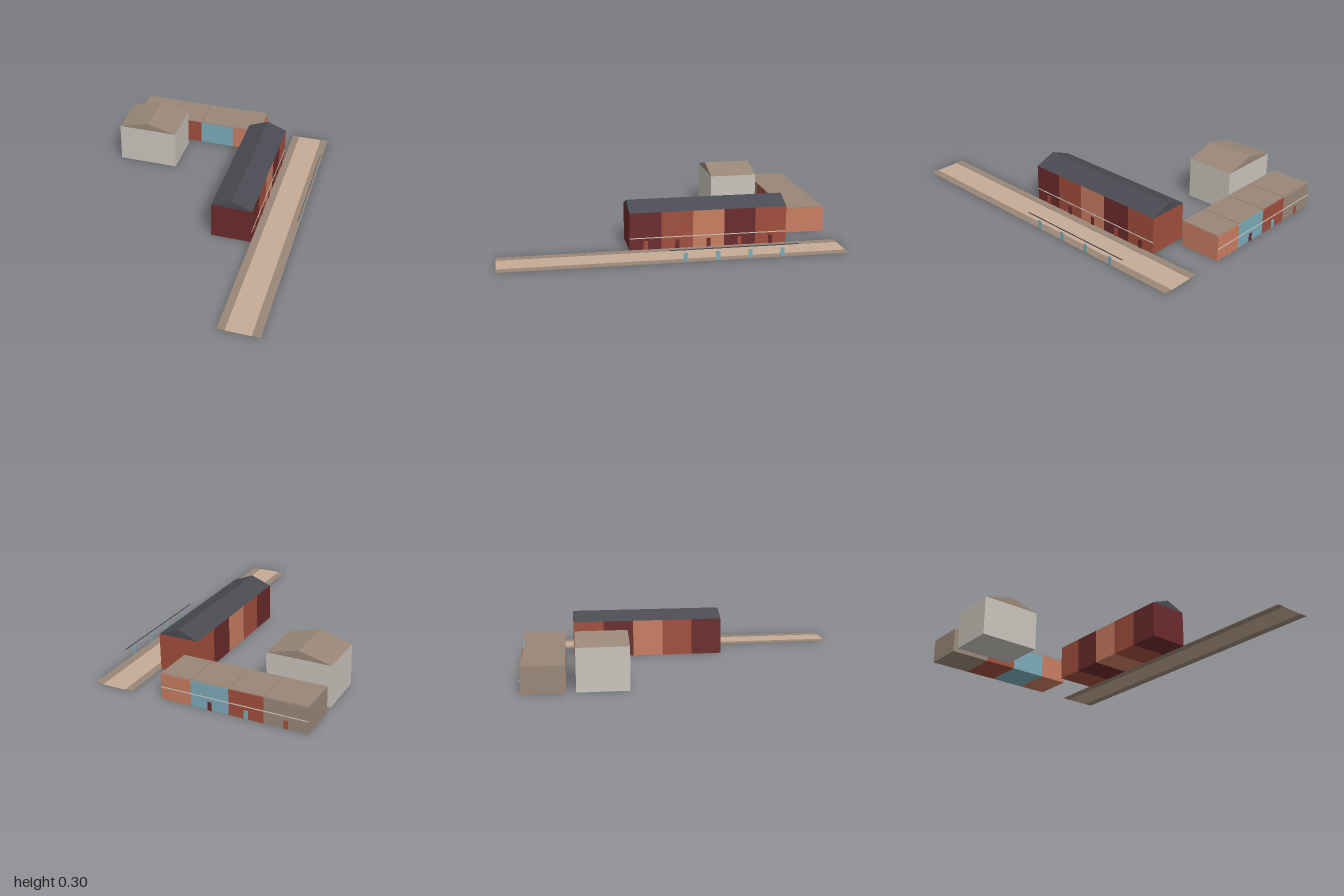
import * as THREE from 'three';

export function createModel() {
  const root = new THREE.Group();
  root.name = 'streetBlock';

  const mat = (name, color) => {
    const m = new THREE.MeshStandardMaterial({ color });
    m.name = name;
    return m;
  };
  const cream = mat('cream', 0xc9c4bb);
  const teal = mat('teal', 0x7babb8);
  const rust = mat('rust', 0xa04e3c);
  const orange = mat('terracotta', 0xc87d61);
  const maroon = mat('maroon', 0x6b2a2c);
  const slate = mat('slate', 0x4a4b52);
  const taupe = mat('taupe', 0x998777);
  const tan = mat('tan', 0xc5ab97);

  // Box given by its limits on each axis
  const box = (parent, name, material, x0, x1, y0, y1, z0, z1) => {
    const mesh = new THREE.Mesh(new THREE.BoxGeometry(x1 - x0, y1 - y0, z1 - z0), material);
    mesh.position.set((x0 + x1) / 2, (y0 + y1) / 2, (z0 + z1) / 2);
    mesh.name = name;
    parent.add(mesh);
  };

  // Gabled roof with its ridge along z
  const gableRoof = (parent, name, material, x0, x1, y0, y1, z0, z1) => {
    const s = new THREE.Shape();
    s.moveTo(x0, y0);
    s.lineTo(x1, y0);
    s.lineTo((x0 + x1) / 2, y1);
    s.closePath();
    const geo = new THREE.ExtrudeGeometry(s, { depth: z1 - z0, bevelEnabled: false });
    geo.translate(0, 0, z0);
    const mesh = new THREE.Mesh(geo, material);
    mesh.name = name;
    parent.add(mesh);
  };

  const group = (name) => {
    const g = new THREE.Group();
    g.name = name;
    root.add(g);
    return g;
  };

  // Street with a raised pavement on each side
  const street = group('street');
  box(street, 'roadway', tan, 0.45, 0.6, 0, 0.002, -1, 1);
  box(street, 'innerPavement', taupe, 0.405, 0.45, 0, 0.004, -1, 1);
  box(street, 'outerPavement', taupe, 0.6, 0.65, 0, 0.004, -1, 1);

  // Barn
  const barn = group('barn');
  box(barn, 'barnWalls', cream, -0.655, -0.272, 0, 0.25, -0.697, -0.4);
  gableRoof(barn, 'barnRoof', taupe, -0.655, -0.272, 0.25, 0.3, -0.697, -0.4);

  // Long terrace of five houses facing the street
  const terrace = group('terrace');
  const step = 0.1865;
  const doorColours = [rust, maroon, maroon, rust, maroon];
  [maroon, rust, orange, maroon, rust].forEach((wall, i) => {
    const z1 = 0.235 - i * step;
    const z0 = z1 - step;
    const zc = (z0 + z1) / 2;
    box(terrace, 'terraceHouse', wall, 0.155, 0.405, 0, 0.225, z0, z1);
    box(terrace, 'terraceBand', cream, 0.405, 0.408, 0.071, 0.076, z0, z1);
    box(terrace, 'terraceDoor', doorColours[i], 0.405, 0.408, 0, 0.055, zc - 0.012, zc + 0.012);
    // Matching panels and rail along the far pavement
    if (i > 0) {
      box(terrace, 'roadsidePanel', teal, 0.647, 0.65, 0.004, 0.055, zc - 0.012, zc + 0.012);
      box(terrace, 'roadsideRail', slate, 0.647, 0.65, 0.071, 0.076, z0, z1);
    }
  });
  gableRoof(terrace, 'terraceRoof', slate, 0.155, 0.405, 0.225, 0.274, 0.235 - 5 * step, 0.235);

  // Low row of four houses facing the back
  const row = group('backRow');
  const houses = [
    [-0.655, -0.402, taupe, rust],
    [-0.402, -0.197, rust, teal],
    [-0.197, 0.031, teal, maroon],
    [0.031, 0.215, orange, orange],
  ];
  for (const [x0, x1, wall, door] of houses) {
    const xc = (x0 + x1) / 2;
    box(row, 'rowHouse', wall, x0, x1, 0, 0.152, -0.997, -0.75);
    box(row, 'rowRoof', taupe, x0 + 0.002, x1 - 0.002, 0.152, 0.156, -0.992, -0.75);
    box(row, 'rowBand', cream, x0, x1, 0.071, 0.076, -1, -0.997);
    box(row, 'rowDoor', door, xc - 0.012, xc + 0.012, 0, 0.05, -1, -0.997);
  }

  return root;
}
